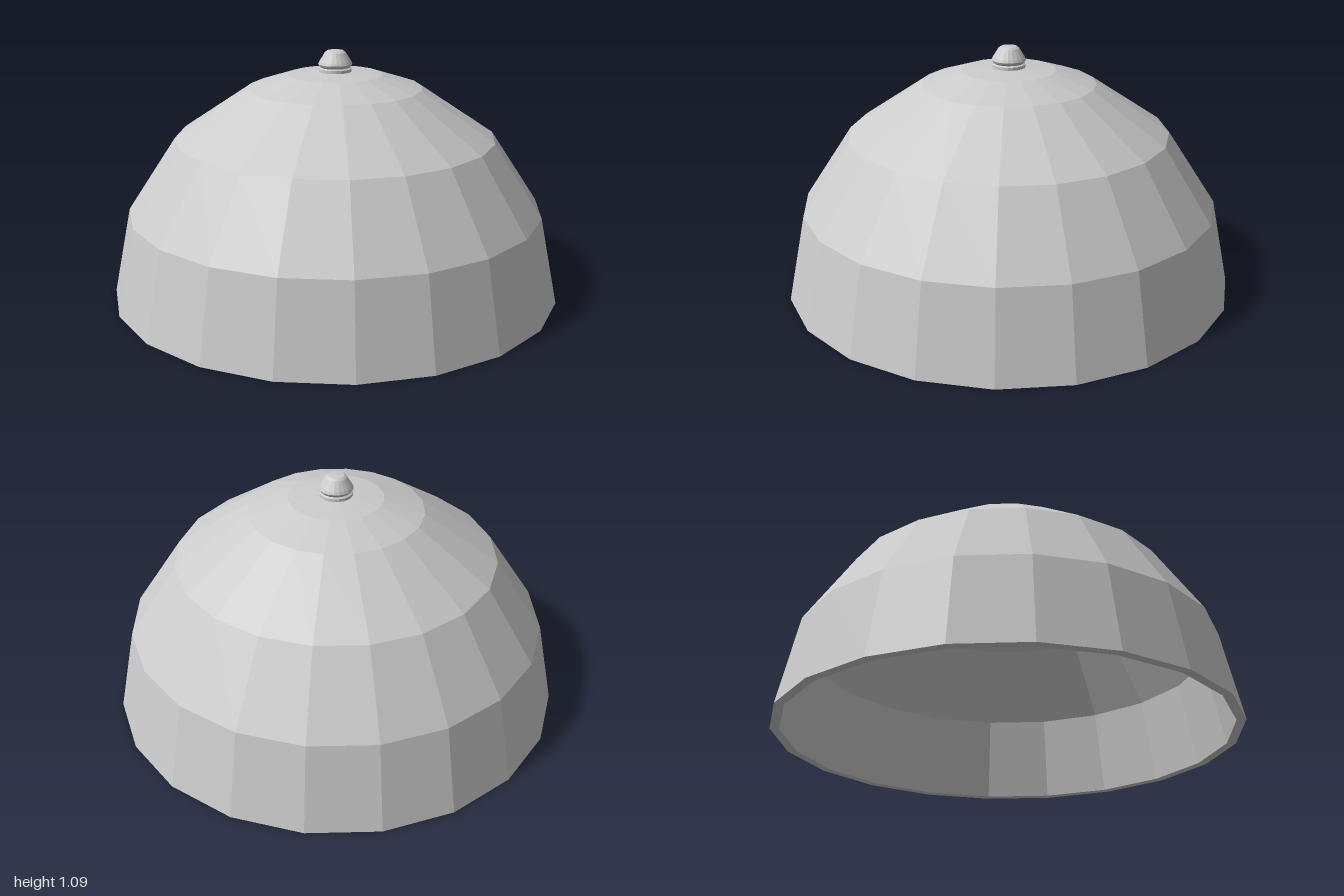
import * as THREE from 'three';

const SIDES = 20;

function lathe(name, profile, material) {
  const points = profile.map(([r, y]) => new THREE.Vector2(r, y));
  const mesh = new THREE.Mesh(new THREE.LatheGeometry(points, SIDES), material);
  mesh.name = name;
  return mesh;
}

export function createModel() {
  const group = new THREE.Group();
  group.name = 'domeCover';
  const material = new THREE.MeshStandardMaterial({ color: 0xcccccc, flatShading: true });

  // Faceted hollow dome: inner wall down, across the rim, outer wall up
  const outer = [[1, 0], [0.92, 0.385], [0.707, 0.707], [0.383, 0.924], [0.207, 0.982], [0, 1]];
  const inner = outer.map(([r, y]) => [r * 0.96, y * 0.96]).reverse();
  group.add(lathe('dome', [...inner, ...outer], material));

  // Small knob with a grooved collar
  group.add(lathe('knob', [
    [0, 0.985], [0.072, 0.99], [0.072, 1.007], [0.064, 1.012], [0.07, 1.018],
    [0.075, 1.027], [0.07, 1.038], [0.046, 1.077], [0.035, 1.085], [0, 1.088],
  ], material));

  return group;
}
